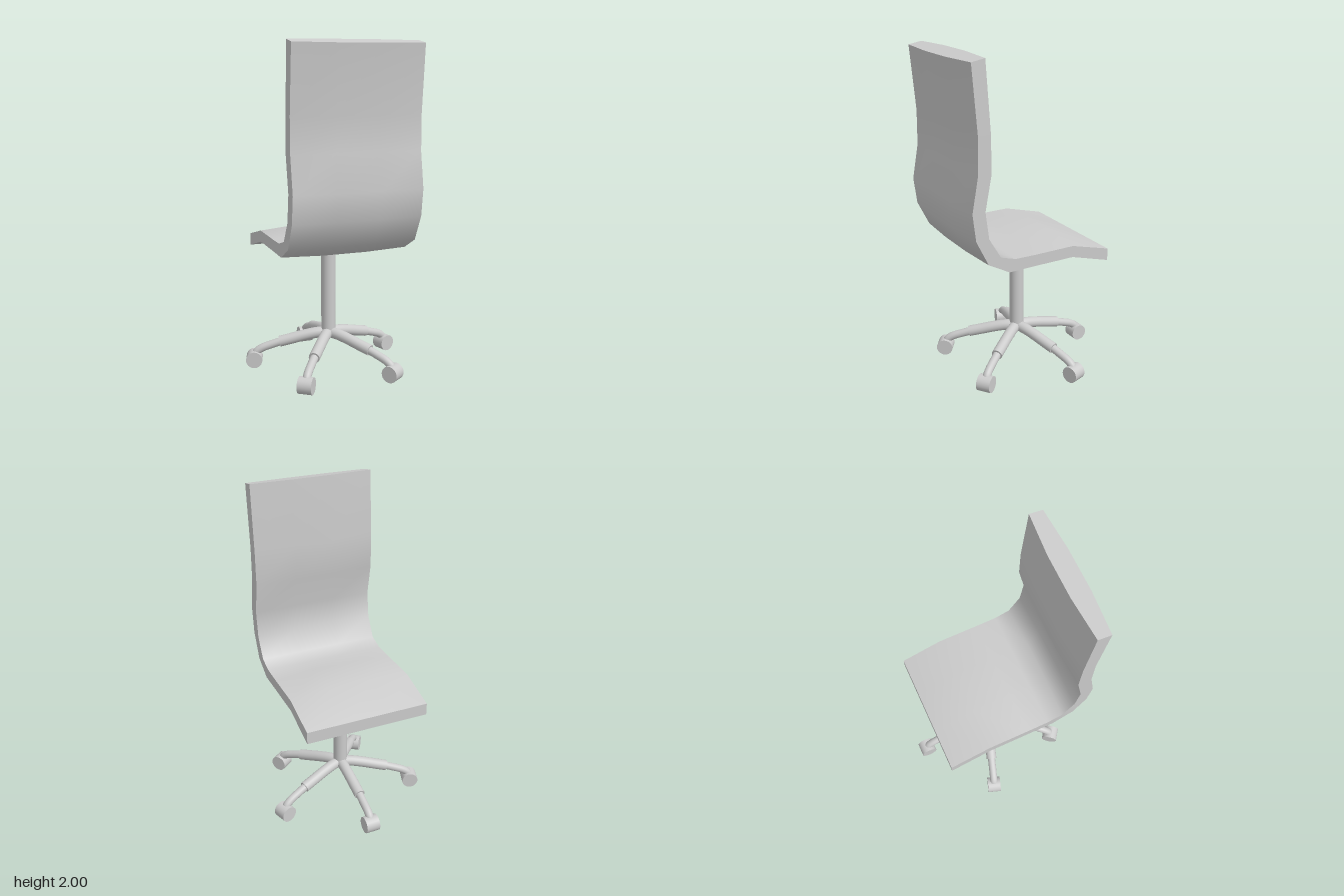
import * as THREE from 'three';
import { toCreasedNormals } from 'three/addons/utils/BufferGeometryUtils.js';

const material = new THREE.MeshStandardMaterial({ color: 0xcccccc });

function add(parent, name, geometry) {
  const mesh = new THREE.Mesh(geometry, material);
  mesh.name = name;
  parent.add(mesh);
  return mesh;
}

// Side profile from seat tip to backrest top:
// under z, under y, upper z, upper y, bulge below, bulge above
const rows = [
  [-0.41, 0.72, -0.41, 0.795, 0, 0],
  [-0.154, 0.795, -0.154, 0.865, 0, 0.022],
  [0.12, 0.796, 0.1, 0.865, 0, 0.021],
  [0.275, 0.795, 0.235, 0.868, 0.01, 0],
  [0.408, 0.868, 0.33, 0.897, 0.012, -0.012],
  [0.483, 1.02, 0.403, 1.02, 0.014, -0.012],
  [0.503, 1.18, 0.424, 1.18, 0.012, 0],
  [0.465, 1.39, 0.384, 1.385, 0.013, 0.018],
  [0.462, 1.6, 0.385, 1.6, 0.013, 0.019],
  [0.495, 1.985, 0.413, 2.0, 0.018, 0.02],
];
const columns = [-0.385, -0.13, 0.13, 0.385];

// One-piece shell: an eight-point ring per row, thicker in the middle columns
function shellGeometry() {
  const positions = [], index = [];
  for (const [uz, uy, tz, ty, under, above] of rows) {
    const length = Math.hypot(uz - tz, uy - ty);
    const dz = (uz - tz) / length, dy = (uy - ty) / length;
    const middle = x => (Math.abs(x) < 0.2 ? 1 : 0);
    for (const x of columns) {
      positions.push(x, uy + dy * under * middle(x), uz + dz * under * middle(x));
    }
    for (const x of [...columns].reverse()) {
      positions.push(x, ty - dy * above * middle(x), tz - dz * above * middle(x));
    }
  }
  const quad = (a, b, c, d) => index.push(a, b, c, a, c, d);
  for (let i = 0; i < rows.length - 1; i++) {
    for (let j = 0; j < 8; j++) {
      const a = i * 8 + j, b = i * 8 + (j + 1) % 8;
      quad(a, b, b + 8, a + 8);
    }
  }
  // End faces
  const last = (rows.length - 1) * 8;
  for (let j = 0; j < 3; j++) {
    quad(j, 7 - j, 6 - j, j + 1);
    quad(last + j, last + j + 1, last + 6 - j, last + 7 - j);
  }
  const geometry = new THREE.BufferGeometry();
  geometry.setAttribute('position', new THREE.Float32BufferAttribute(positions, 3));
  geometry.setIndex(index);
  return toCreasedNormals(geometry, 0.9);
}

const pathOf = points => new THREE.CatmullRomCurve3(points.map(([x, y]) => new THREE.Vector3(x, y, 0)));

// One base leg along +x with its caster
function createLeg() {
  const leg = new THREE.Group();
  leg.name = 'baseLeg';

  const sleeve = pathOf([[0, 0.221], [0.07, 0.216], [0.15, 0.2], [0.23, 0.179], [0.305, 0.16]]);
  add(leg, 'legSleeve', new THREE.TubeGeometry(sleeve, 16, 0.034, 20));
  const end = add(leg, 'legSleeveEnd', new THREE.CircleGeometry(0.034, 20));
  end.position.copy(sleeve.getPoint(1));
  end.lookAt(end.position.clone().add(sleeve.getTangent(1)));

  const stem = pathOf([[0.28, 0.166], [0.36, 0.14], [0.42, 0.117], [0.452, 0.092], [0.462, 0.05]]);
  add(leg, 'legStem', new THREE.TubeGeometry(stem, 20, 0.025, 16));

  const caster = add(leg, 'caster', new THREE.CylinderGeometry(0.051, 0.051, 0.086, 24));
  caster.rotation.x = Math.PI / 2;
  caster.position.set(0.464, 0.052, 0);
  return leg;
}

export function createModel() {
  const chair = new THREE.Group();
  chair.name = 'officeChair';

  add(chair, 'seatAndBackrest', shellGeometry());

  const post = add(chair, 'post', new THREE.CylinderGeometry(0.044, 0.044, 0.61, 24));
  post.position.y = 0.505;

  // Five legs, one pointing to -z
  for (let i = 0; i < 5; i++) {
    const leg = createLeg();
    leg.rotation.y = Math.PI / 2 + (i * Math.PI * 2) / 5;
    chair.add(leg);
  }
  return chair;
}
